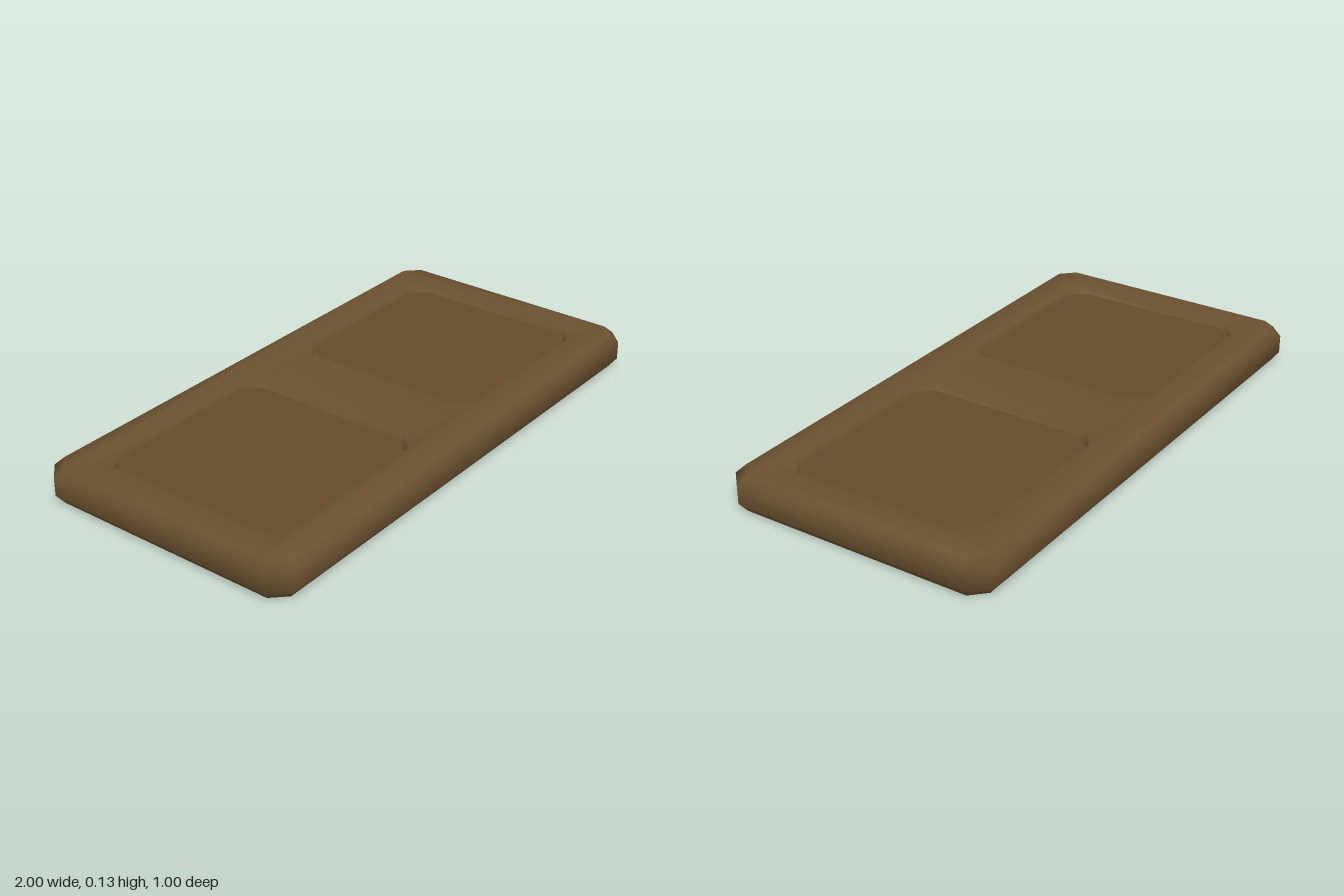
import * as THREE from 'three';

// Rectangle outline with cut corners, counterclockwise seen from above (points are x, -z).
// Optional midpoints are added on the front and back edges.
function outline(cx, hx, hz, cut, mid = false) {
  const pts = [
    [hx - cut, -hz], [hx, -hz + cut], [hx, hz - cut], [hx - cut, hz],
    [-hx + cut, hz], [-hx, hz - cut], [-hx, -hz + cut], [-hx + cut, -hz],
  ];
  if (mid) {
    pts.splice(4, 0, [0, hz]);
    pts.push([0, -hz]);
  }
  return pts.map(([x, v]) => new THREE.Vector2(cx + x, v));
}

export function createModel() {
  const group = new THREE.Group();
  const frameMaterial = new THREE.MeshStandardMaterial({ color: 0x6b5130 });
  frameMaterial.name = 'frame brown';
  const panelMaterial = new THREE.MeshStandardMaterial({ color: 0x664b2d });
  panelMaterial.name = 'panel brown';

  const TOP = 0.13, FLOOR = 0.108;
  const positions = [], indices = [];

  const addRing = (pts, y) => {
    const start = positions.length / 3;
    pts.forEach((p) => positions.push(p.x, y, -p.y));
    return start;
  };
  // Wall between two rings; faces outwards when b lies above a
  const bridge = (a, b, n) => {
    for (let i = 0; i < n; i++) {
      const j = (i + 1) % n;
      indices.push(a + i, a + j, b + j, a + i, b + j, b + i);
    }
  };

  // Outer shell: bevelled bottom, straight sides, bevelled top
  const bottomPts = outline(0, 0.975, 0.475, 0.05, true);
  const topPts = outline(0, 0.97, 0.47, 0.05, true);
  const rings = [
    addRing(bottomPts, 0),
    addRing(outline(0, 1, 0.5, 0.06, true), 0.033),
    addRing(outline(0, 1, 0.5, 0.06, true), 0.1),
    addRing(topPts, TOP),
  ];
  for (let k = 0; k < 3; k++) bridge(rings[k], rings[k + 1], 10);

  // Underside
  THREE.ShapeUtils.triangulateShape(bottomPts, []).forEach(([a, b, c]) =>
    indices.push(rings[0] + a, rings[0] + c, rings[0] + b));

  // Top face with two openings
  const holes = [-0.5, 0.5].map((cx) => outline(cx, 0.37, 0.37, 0.065));
  const holeStarts = holes.map((h) => addRing(h, TOP));
  THREE.ShapeUtils.triangulateShape(topPts, holes).forEach((tri) =>
    indices.push(...tri.map((i) => rings[3] + i)));

  // Sloping recess walls and flat sunken panels
  [-0.5, 0.5].forEach((cx, k) => {
    const floorPts = outline(cx, 0.357, 0.357, 0.06);
    bridge(addRing(floorPts, FLOOR), holeStarts[k], 8);
    // Recess walls face inwards
    for (let i = indices.length - 48; i < indices.length; i += 3) {
      [indices[i + 1], indices[i + 2]] = [indices[i + 2], indices[i + 1]];
    }
    const panel = new THREE.Mesh(
      new THREE.ShapeGeometry(new THREE.Shape(floorPts)).rotateX(-Math.PI / 2), panelMaterial);
    panel.position.y = FLOOR;
    panel.name = cx > 0 ? 'leftPanel' : 'rightPanel';
    group.add(panel);
  });

  const geometry = new THREE.BufferGeometry();
  geometry.setAttribute('position', new THREE.Float32BufferAttribute(positions, 3));
  geometry.setIndex(indices);
  geometry.computeVertexNormals();
  const frame = new THREE.Mesh(geometry, frameMaterial);
  frame.name = 'frame';
  group.add(frame);
  return group;
}
